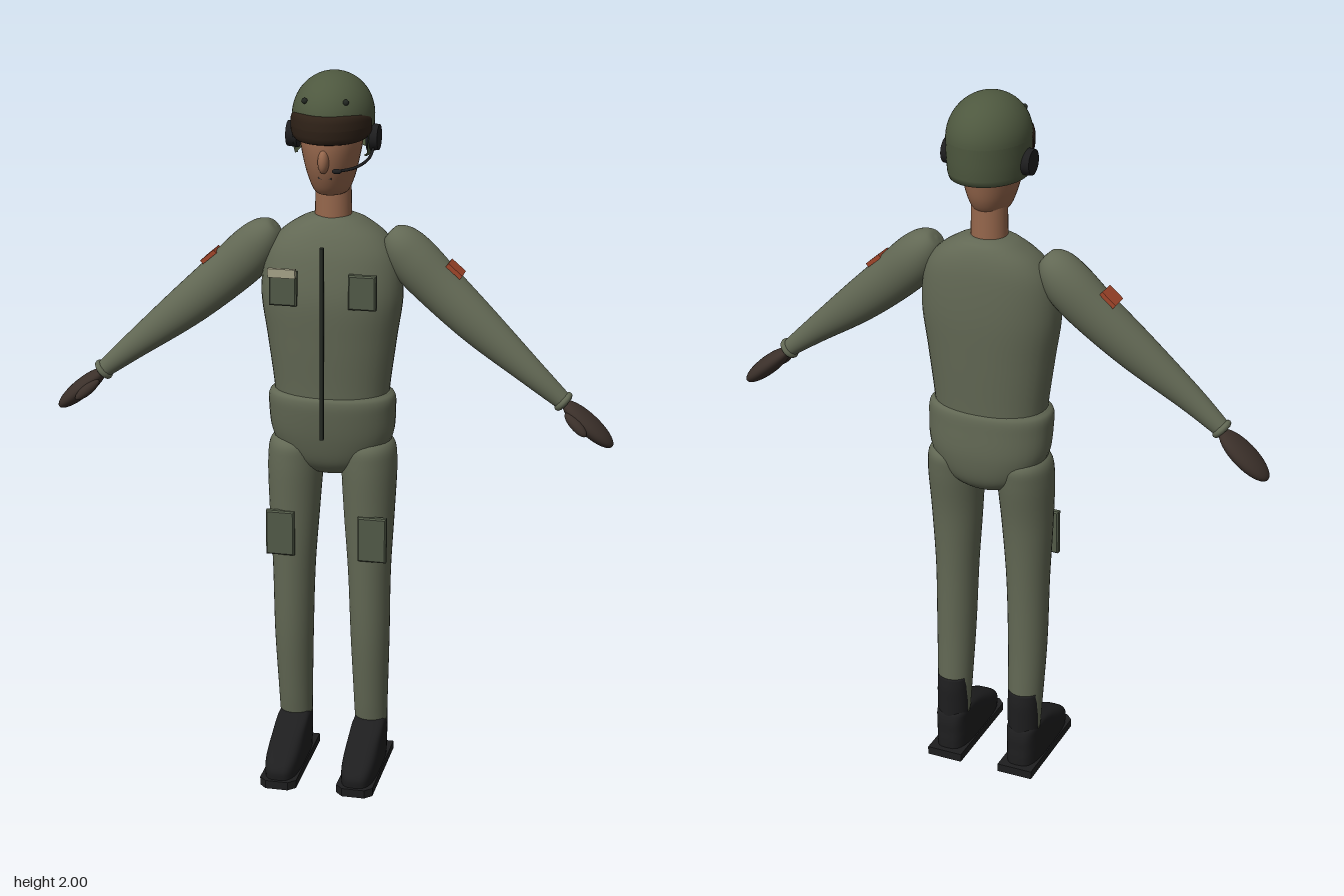
import * as THREE from 'three';

const mat = (color, side = THREE.FrontSide) => new THREE.MeshStandardMaterial({ color, side });
const SUIT = mat(0x626854), POCKET = mat(0x525a48), SHELL = mat(0x4e583f, THREE.DoubleSide);
const BLACK = mat(0x1e1e1f), DARK = mat(0x232822), SKIN = mat(0x96674c), GLOVE = mat(0x3b302a);
const LENS = mat(0x2e2117, THREE.DoubleSide), PATCH = mat(0xa0452a), TAG = mat(0xa5a288);

function add(parent, name, geometry, material, x = 0, y = 0, z = 0) {
  const mesh = new THREE.Mesh(geometry, material);
  mesh.name = name;
  mesh.position.set(x, y, z);
  parent.add(mesh);
  return mesh;
}

// Smooth skin over cross-sections [y, centreX, centreZ, radiusX, radiusZ], listed bottom to top.
// power < 1 makes the rings squarer.
function loft(sections, power = 1, seg = 36, steps = 6) {
  const spine = new THREE.CatmullRomCurve3(sections.map(s => new THREE.Vector3(s[1], s[0], s[2])), false, 'catmullrom', 0.5);
  const radii = new THREE.CatmullRomCurve3(sections.map(s => new THREE.Vector3(s[3], s[4], 0)), false, 'catmullrom', 0.5);
  const rows = (sections.length - 1) * steps, pos = [], idx = [];
  const round = v => Math.sign(v) * Math.abs(v) ** power;
  for (let j = 0; j <= rows; j++) {
    const c = spine.getPoint(j / rows), r = radii.getPoint(j / rows);
    for (let i = 0; i < seg; i++) {
      const a = (i / seg) * Math.PI * 2;
      pos.push(c.x + r.x * round(Math.cos(a)), c.y, c.z + r.y * round(Math.sin(a)));
      if (j < rows) {
        const p = j * seg + i, q = j * seg + (i + 1) % seg;
        idx.push(p, p + seg, q, q, p + seg, q + seg);
      }
    }
  }
  // End caps
  for (const row of [0, rows]) {
    const c = spine.getPoint(row / rows), centre = pos.length / 3;
    pos.push(c.x, c.y, c.z);
    for (let i = 0; i < seg; i++) {
      const p = row * seg + i, q = row * seg + (i + 1) % seg;
      idx.push(centre, row ? q : p, row ? p : q);
    }
  }
  const g = new THREE.BufferGeometry();
  g.setAttribute('position', new THREE.Float32BufferAttribute(pos, 3));
  g.setIndex(idx);
  g.computeVertexNormals();
  return g;
}

const ball = (rx, ry, rz) => new THREE.SphereGeometry(1, 28, 18).scale(rx, ry, rz);

// Flat panel with bevelled edges
function panel(w, h, d) {
  const b = 0.004, x = w / 2 - b, y = h / 2 - b;
  const s = new THREE.Shape([[-x, -y], [x, -y], [x, y], [-x, y]].map(p => new THREE.Vector2(...p)));
  const g = new THREE.ExtrudeGeometry(s, { depth: d - 2 * b, bevelSize: b, bevelThickness: b, bevelSegments: 1 });
  return g.translate(0, 0, b - d / 2);
}

function buildArm() {
  const arm = new THREE.Group();
  arm.name = 'arm';
  // Local +y runs from the wrist up to the shoulder
  arm.position.set(0.645, 1.145, 0);
  arm.rotation.z = 0.863;
  add(arm, 'sleeve', loft([
    [-0.005, 0, 0, 0.022, 0.022], [0.02, 0, 0, 0.026, 0.025], [0.12, -0.002, -0.004, 0.037, 0.035],
    [0.3, -0.008, -0.022, 0.057, 0.05], [0.45, -0.008, -0.038, 0.066, 0.058], [0.55, -0.003, -0.045, 0.068, 0.063],
    [0.61, 0.004, -0.046, 0.055, 0.056], [0.645, 0.008, -0.046, 0.03, 0.034], [0.652, 0.008, -0.046, 0.004, 0.004],
  ]), SUIT);
  add(arm, 'cuff', new THREE.TorusGeometry(0.022, 0.009, 10, 28).rotateX(Math.PI / 2), SUIT, 0, 0.005, 0);
  add(arm, 'glove', ball(0.026, 0.09, 0.048), GLOVE, -0.003, -0.085, -0.006);
  add(arm, 'thumb', ball(0.015, 0.042, 0.016), GLOVE, -0.014, -0.058, 0.036).rotation.x = -0.35;
  add(arm, 'shoulderPatch', new THREE.BoxGeometry(0.012, 0.05, 0.055), PATCH, 0.059, 0.455, -0.037);
  return arm;
}

function buildLeg() {
  const leg = new THREE.Group();
  leg.name = 'leg';
  add(leg, 'trouserLeg', loft([
    [0.13, 0.11, -0.062, 0.046, 0.044], [0.22, 0.11, -0.055, 0.049, 0.052], [0.4, 0.11, -0.041, 0.055, 0.061],
    [0.6, 0.108, -0.036, 0.06, 0.067], [0.78, 0.106, -0.038, 0.071, 0.076], [0.92, 0.104, -0.046, 0.077, 0.09],
    [0.98, 0.102, -0.05, 0.068, 0.085], [1.0, 0.1, -0.05, 0.03, 0.03],
  ]), SUIT);
  add(leg, 'thighPocket', panel(0.08, 0.13, 0.02), POCKET, 0.13, 0.72, 0.036);
  // Boot shaft shows through at the back of the ankle
  add(leg, 'bootShaft', loft([
    [0.1, 0.11, -0.066, 0.045, 0.046], [0.17, 0.11, -0.068, 0.046, 0.046],
    [0.215, 0.11, -0.07, 0.045, 0.045], [0.25, 0.11, -0.068, 0.044, 0.043],
  ]), BLACK);
  add(leg, 'boot', loft([
    [0.02, 0.11, 0.03, 0.049, 0.148], [0.05, 0.11, 0.03, 0.05, 0.149], [0.075, 0.11, 0.018, 0.05, 0.136],
    [0.105, 0.11, -0.014, 0.048, 0.104], [0.13, 0.11, -0.044, 0.046, 0.069], [0.143, 0.11, -0.06, 0.04, 0.045],
  ], 0.6), BLACK);
  // Chamfered sole plate
  const w = 0.052, front = 0.187, back = -0.135, c = 0.02;
  const outline = [[-w, -back], [w, -back], [w, -front + c], [w - c, -front], [c - w, -front], [-w, -front + c]];
  const sole = new THREE.ExtrudeGeometry(new THREE.Shape(outline.map(p => new THREE.Vector2(...p)).reverse()),
    { depth: 0.024, bevelEnabled: false });
  // Extrude axis becomes up
  add(leg, 'sole', sole.rotateX(-Math.PI / 2).scale(1, 1, 1), BLACK, 0.11, 0, 0);
  return leg;
}

function buildHead() {
  const head = new THREE.Group();
  head.name = 'head';
  add(head, 'neck', new THREE.CylinderGeometry(0.048, 0.05, 0.14, 32), SKIN, 0, 1.65, -0.055);
  add(head, 'face', loft([
    [1.676, 0, -0.035, 0.02, 0.025], [1.685, 0, -0.036, 0.044, 0.06], [1.72, 0, -0.036, 0.06, 0.085],
    [1.77, 0, -0.034, 0.073, 0.101], [1.83, 0, -0.036, 0.083, 0.108], [1.89, 0, -0.045, 0.08, 0.1],
    [1.93, 0, -0.05, 0.05, 0.06],
  ]), SKIN);
  add(head, 'nose', ball(0.015, 0.032, 0.02), SKIN, 0, 1.782, 0.067);
  add(head, 'mouth', new THREE.BoxGeometry(0.036, 0.005, 0.006), GLOVE, 0, 1.735, 0.051);

  // Helmet: full dome plus a skirt left open at the face
  const dome = [];
  for (let i = 0; i <= 20; i++) {
    const a = (i / 20) * Math.PI / 2;
    dome.push(new THREE.Vector2(Math.cos(a), 1.885 + 0.115 * Math.sin(a)));
  }
  const oval = g => g.scale(0.109, 1, 0.132).translate(0, 0, -0.055);
  add(head, 'helmetDome', oval(new THREE.LatheGeometry(dome, 48)), SHELL);
  const skirt = [[0.86, 1.786], [0.93, 1.784], [0.965, 1.8], [0.99, 1.84], [1, 1.886]].map(p => new THREE.Vector2(...p));
  add(head, 'helmetSkirt', oval(new THREE.LatheGeometry(skirt, 40, 1.25, Math.PI * 2 - 2.5)), SHELL);
  const brow = [[0.95, 1.85], [1, 1.886]].map(p => new THREE.Vector2(...p));
  add(head, 'helmetBrow', oval(new THREE.LatheGeometry(brow, 32, -1.3, 2.6)), SHELL);

  // Goggles: bulged band, narrowing towards the ends
  const section = [];
  for (let i = 0; i <= 16; i++) {
    const a = (i / 16) * Math.PI * 2;
    section.push(new THREE.Vector2(1.0 + 0.12 * Math.cos(a), 0.038 * Math.sign(Math.sin(a)) * Math.abs(Math.sin(a)) ** 0.7));
  }
  const band = new THREE.LatheGeometry(section, 40, -1.38, 2.76);
  const p = band.attributes.position;
  for (let i = 0; i < p.count; i++) {
    const t = Math.abs(Math.atan2(p.getX(i), p.getZ(i))) / 1.38;
    p.setY(i, p.getY(i) * (1 - 0.3 * t ** 6));
  }
  band.scale(0.1, 1, 0.134);
  band.computeVertexNormals();
  add(head, 'goggles', band, LENS, 0, 1.866, -0.055);

  for (const s of [-1, 1]) {
    add(head, 'earCup', new THREE.CylinderGeometry(0.034, 0.037, 0.03, 28).rotateZ(-s * Math.PI / 2), BLACK, s * 0.109, 1.828, -0.055);
    add(head, 'helmetStud', ball(0.008, 0.008, 0.006), DARK, s * 0.055, 1.937, 0.046);
  }
  const boom = new THREE.CatmullRomCurve3([[0.113, 1.806, -0.04], [0.107, 1.782, 0.0], [0.08, 1.766, 0.045], [0.04, 1.76, 0.072]]
    .map(q => new THREE.Vector3(...q)));
  add(head, 'microphoneBoom', new THREE.TubeGeometry(boom, 24, 0.004, 8), BLACK);
  add(head, 'microphone', ball(0.013, 0.007, 0.008), BLACK, 0.037, 1.76, 0.073);
  return head;
}

export function createModel() {
  const model = new THREE.Group();
  model.name = 'crewman';

  add(model, 'torso', loft([
    [1.1, 0, -0.042, 0.156, 0.105], [1.16, 0, -0.042, 0.162, 0.108], [1.28, 0, -0.041, 0.178, 0.116],
    [1.4, 0, -0.041, 0.194, 0.121], [1.5, 0, -0.048, 0.183, 0.11], [1.56, 0, -0.055, 0.148, 0.094],
    [1.6, 0, -0.06, 0.092, 0.072], [1.616, 0, -0.058, 0.05, 0.05],
  ], 0.9), SUIT);
  add(model, 'hips', loft([
    [0.882, 0, -0.06, 0.02, 0.02], [0.893, 0, -0.06, 0.07, 0.058], [0.93, 0, -0.057, 0.13, 0.09],
    [1.0, 0, -0.052, 0.168, 0.108], [1.08, 0, -0.044, 0.176, 0.114], [1.115, 0, -0.042, 0.174, 0.113],
    [1.13, 0, -0.042, 0.16, 0.105],
  ], 0.9), SUIT);

  // Chest details
  add(model, 'zip', new THREE.BoxGeometry(0.01, 0.535, 0.012), DARK, 0, 1.288, 0.089);
  for (const s of [-1, 1]) add(model, 'chestPocket', panel(0.075, 0.095, 0.022), POCKET, s * 0.108, 1.437, 0.077);
  add(model, 'nameTag', new THREE.BoxGeometry(0.075, 0.024, 0.012), TAG, -0.108, 1.482, 0.094);

  // Limbs, mirrored
  for (const s of [1, -1]) {
    const side = new THREE.Group();
    side.name = s > 0 ? 'leftLimbs' : 'rightLimbs';
    side.scale.x = s;
    side.add(buildArm(), buildLeg());
    model.add(side);
  }
  model.add(buildHead());
  return model;
}
